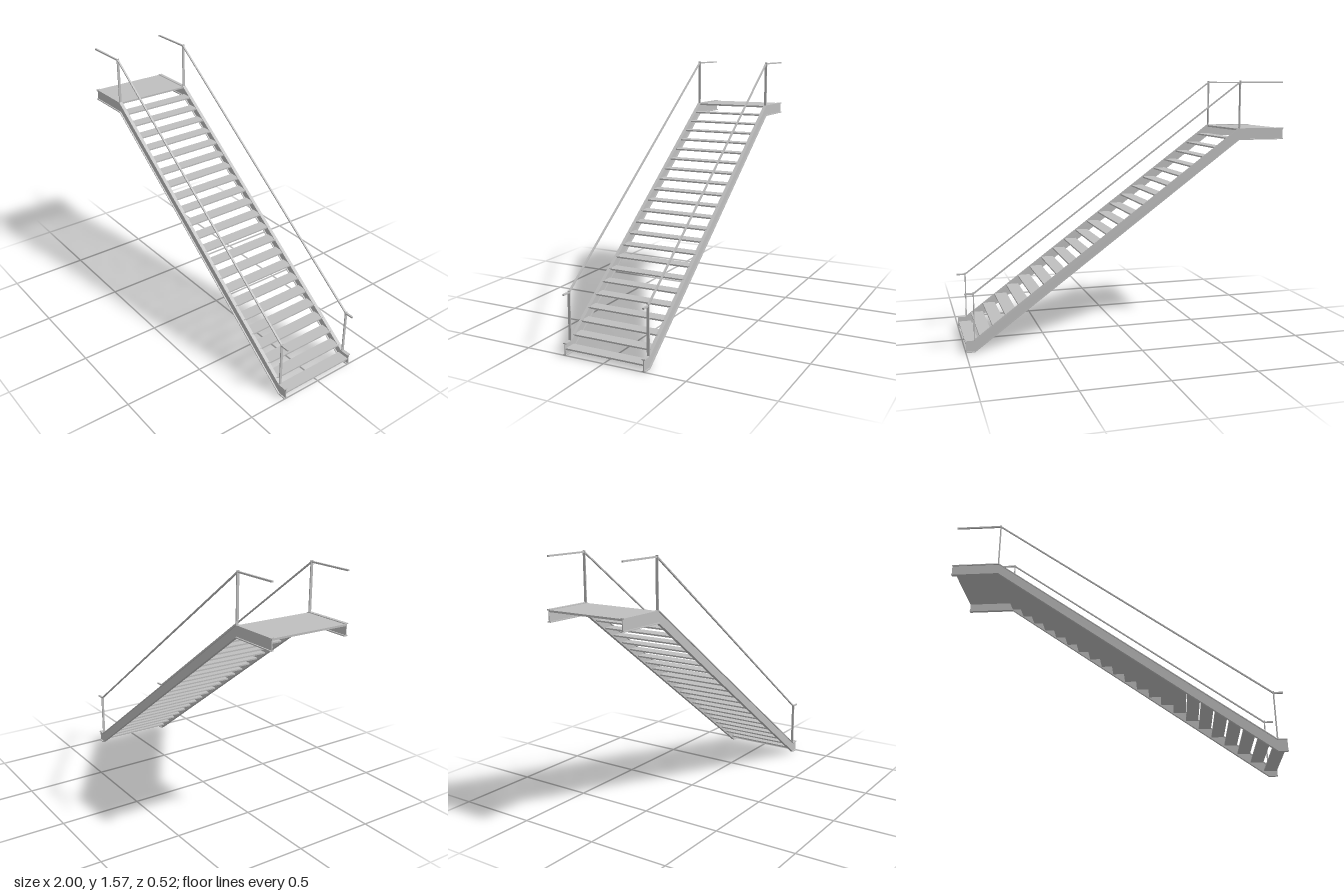
import * as THREE from 'three';

export function createModel() {
  const stair = new THREE.Group();
  stair.name = 'staircase';
  const steel = new THREE.MeshStandardMaterial({ color: 0xbfbfbf });
  steel.name = 'grey steel';

  const add = (name, geometry, x = 0, y = 0, z = 0) => {
    const mesh = new THREE.Mesh(geometry, steel);
    mesh.name = name;
    mesh.position.set(x, y, z);
    stair.add(mesh);
  };

  // Band that follows a side line, from `low` to `high` above it, centred on z
  const band = (line, low, high, width) => {
    const shape = new THREE.Shape([
      ...line.map(([x, y]) => new THREE.Vector2(x, y + low)),
      ...[...line].reverse().map(([x, y]) => new THREE.Vector2(x, y + high)),
    ]);
    const geometry = new THREE.ExtrudeGeometry(shape, { depth: width, bevelEnabled: false });
    return geometry.translate(0, 0, -width / 2);
  };

  const stringerLine = [[-1, 1.205], [-0.7, 1.205], [0.947, 0], [1, 0]];
  const railLine = [[-0.99, 1.554], [-0.703, 1.554], [0.947, 0.345], [1, 0.345]];
  const depth = 0.072, flange = 0.006, sideZ = 0.25;

  for (const [side, z] of [['left', -sideZ], ['right', sideZ]]) {
    // I-beam stringer
    add(side + 'StringerWeb', band(stringerLine, flange, depth - flange, 0.005), 0, 0, z);
    add(side + 'StringerBottomFlange', band(stringerLine, 0, flange, 0.022), 0, 0, z);
    add(side + 'StringerTopFlange', band(stringerLine, depth - flange, depth, 0.022), 0, 0, z);

    // Handrail and its flat-bar posts
    add(side + 'Handrail', band(railLine, 0, 0.009, 0.011), 0, 0, z);
    for (const [name, x, low, high] of [['UpperPost', -0.703, 1.275, 1.567], ['LowerPost', 0.947, 0.07, 0.358]]) {
      add(side + name, new THREE.BoxGeometry(0.006, high - low, 0.016), x, (low + high) / 2, z);
    }
  }

  // Open treads between the stringer webs
  const count = 22, run = 1.696 / count, rise = 0.0561;
  const treadGeometry = new THREE.BoxGeometry(run, 0.009, 2 * sideZ - 0.004);
  for (let i = 0; i < count; i++) {
    add('tread' + (i + 1), treadGeometry, 0.996 - run * (i + 0.5), 0.037 + rise * i, 0);
  }

  // Upper landing
  add('landing', new THREE.BoxGeometry(0.3, 0.011, 2 * sideZ - 0.004), -0.85, 1.2675, 0);

  return stair;
}
